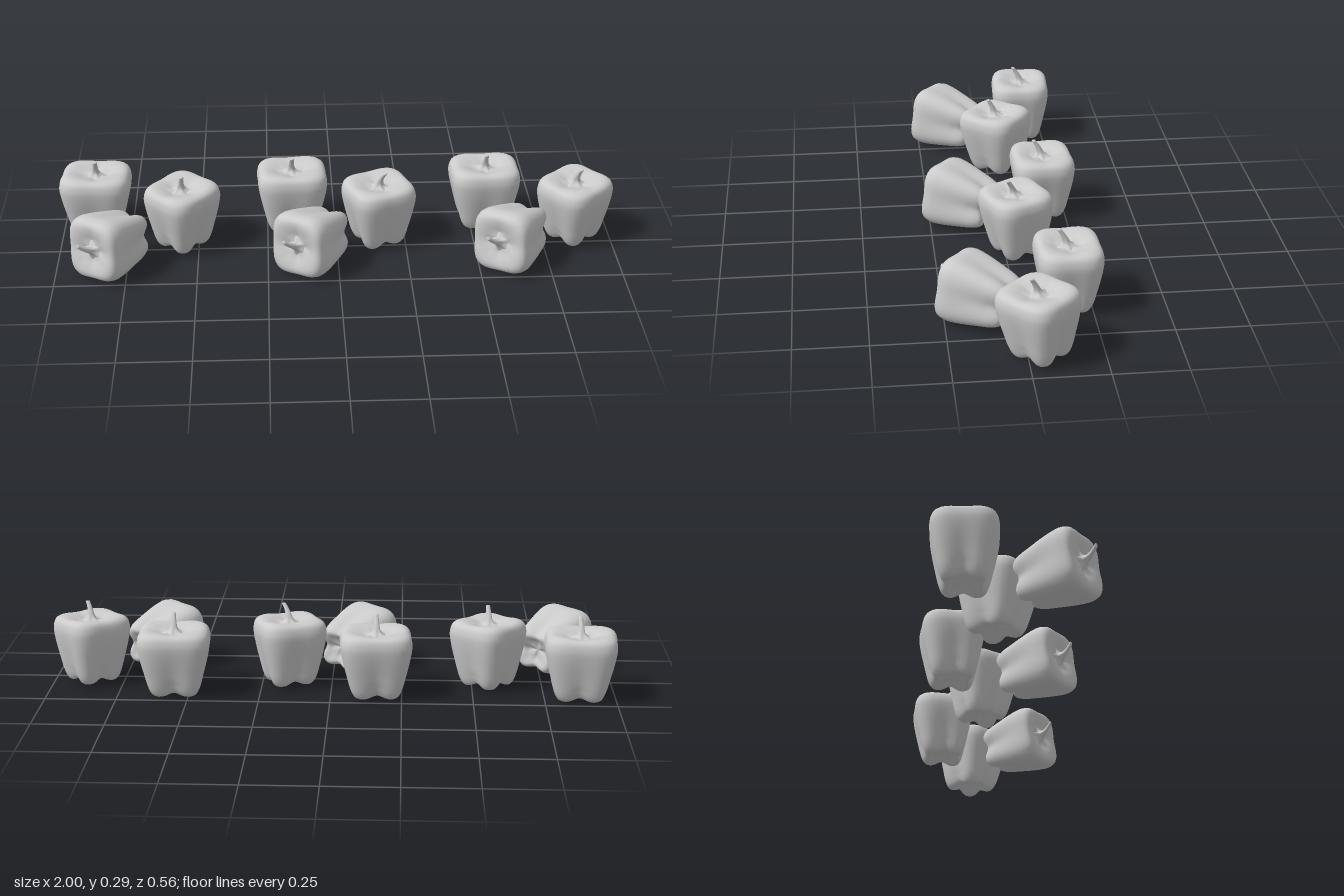
import * as THREE from 'three';
import { mergeVertices } from 'three/addons/utils/BufferGeometryUtils.js';

const material = new THREE.MeshStandardMaterial({ color: 0xcccccc, roughness: 0.7, side: THREE.DoubleSide });

// Lathe that is reshaped by a rule and smoothed across its seam
function reshapedLathe(profile, steps, sides, rule) {
  const curve = new THREE.SplineCurve(profile.map(([r, y]) => new THREE.Vector2(r, y)));
  const points = curve.getPoints(steps);
  points.forEach((p) => { p.x = Math.max(p.x, 0); });
  const lathe = new THREE.LatheGeometry(points, sides);
  const pos = lathe.attributes.position;
  const v = new THREE.Vector3();
  for (let i = 0; i < pos.count; i++) {
    v.fromBufferAttribute(pos, i);
    rule(v, Math.hypot(v.x, v.z), Math.atan2(v.z, v.x));
    pos.setXYZ(i, v.x, v.y, v.z);
  }
  lathe.deleteAttribute('uv');
  lathe.deleteAttribute('normal');
  const geometry = mergeVertices(lathe, 1e-5);
  geometry.computeVertexNormals();
  return geometry;
}

// Relative radius against height, from the base to the stem hollow
const BODY = [
  [0, 0.032], [0.28, 0.02], [0.5, 0.003], [0.64, 0.008], [0.75, 0.035], [0.84, 0.08],
  [0.94, 0.135], [1, 0.18], [1.0, 0.205], [0.94, 0.228], [0.78, 0.239], [0.55, 0.236],
  [0.3, 0.225], [0, 0.222],
];

// Four-lobed body: rounded square outline, furrows deepening to the base
function bodyGeometry(halfX, halfZ, phase) {
  return reshapedLathe(BODY, 36, 48, (v, r, a) => {
    const c = Math.abs(Math.cos(a));
    const s = Math.abs(Math.sin(a));
    const square = 1 / Math.pow(c ** 3.8 + s ** 3.8, 1 / 3.8);
    const furrow = Math.pow(Math.abs(Math.cos(2 * a)), 3);
    const low = 1 - THREE.MathUtils.smoothstep(v.y, 0.0, 0.21);
    const uneven = 1 + 0.025 * Math.sin(a + phase) * r;
    const k = square * uneven * (1 - furrow * (0.02 + 0.13 * low));
    const ring = Math.sin(Math.PI * Math.min(r, 1));
    // Furrows lift the base and dent the shoulders
    if (v.y < 0.05) v.y += 0.014 * furrow * ring;
    if (v.y > 0.21) v.y -= 0.007 * furrow * ring;
    v.set(Math.cos(a) * r * k * halfX, v.y, Math.sin(a) * r * k * halfZ);
  });
}

// Curved stem with a star-shaped foot, leaning by (leanX, leanZ)
const STEM = [[0.036, 0.219], [0.021, 0.227], [0.013, 0.237], [0.01, 0.255], [0.008, 0.275], [0.007, 0.286], [0, 0.287]];
function stemGeometry(leanX, leanZ) {
  return reshapedLathe(STEM, 18, 20, (v, r, a) => {
    const t = THREE.MathUtils.clamp((v.y - 0.225) / 0.06, 0, 1);
    const star = 1 + 0.25 * Math.cos(5 * a) * (1 - t) ** 3;
    v.x = v.x * star + leanX * t * t;
    v.z = v.z * star + leanZ * (0.5 * t + 0.5 * t * t);
  });
}

function pepper({ name, halfX, halfZ, turn, phase, leanX, leanZ }) {
  const group = new THREE.Group();
  group.name = name;
  const body = new THREE.Mesh(bodyGeometry(halfX, halfZ, phase), material);
  body.name = 'pepperBody';
  body.rotation.y = turn;
  const stem = new THREE.Mesh(stemGeometry(leanX, leanZ), material);
  stem.name = 'pepperStem';
  group.add(body, stem);
  return group;
}

export function createModel() {
  const model = new THREE.Group();
  model.name = 'bellPeppers';
  const frontTurns = [0.85, 0.4, 0.72];

  // Three clusters in a row, each with two upright peppers and one lying down
  for (let i = 0; i < 3; i++) {
    const cluster = new THREE.Group();
    cluster.name = `cluster${i + 1}`;
    cluster.position.x = (i - 1) * 0.711;

    const back = pepper({
      name: 'backPepper', halfX: 0.127, halfZ: 0.112, turn: [-0.06, 0.05, 0.04][i],
      phase: i * 1.7, leanX: 0.003, leanZ: 0.03,
    });
    back.position.set(-0.161, 0, -0.167);

    const side = pepper({
      name: 'sidePepper', halfX: 0.119, halfZ: 0.112, turn: frontTurns[i],
      phase: 1 + i * 2.1, leanX: [0.005, 0.02, 0.014][i], leanZ: 0.022,
    });
    side.position.set(0.153, 0, -0.044);
    side.rotation.x = 0.05;

    const lying = pepper({
      name: 'lyingPepper', halfX: 0.108, halfZ: 0.112, turn: 0.08,
      phase: 2 + i * 0.4, leanX: 0.015, leanZ: 0.03,
    });
    // Stem end points forward and to the right, a little raised
    const axis = new THREE.Vector3(-0.61, 0.09, 0.79).normalize();
    const across = new THREE.Vector3().crossVectors(axis, new THREE.Vector3(0, 1, 0)).normalize();
    const up = new THREE.Vector3().crossVectors(across, axis);
    lying.quaternion.setFromRotationMatrix(new THREE.Matrix4().makeBasis(across, axis, up));
    lying.position.set(-0.011, 0.097, 0.034);

    cluster.add(back, side, lying);
    model.add(cluster);
  }
  return model;
}
